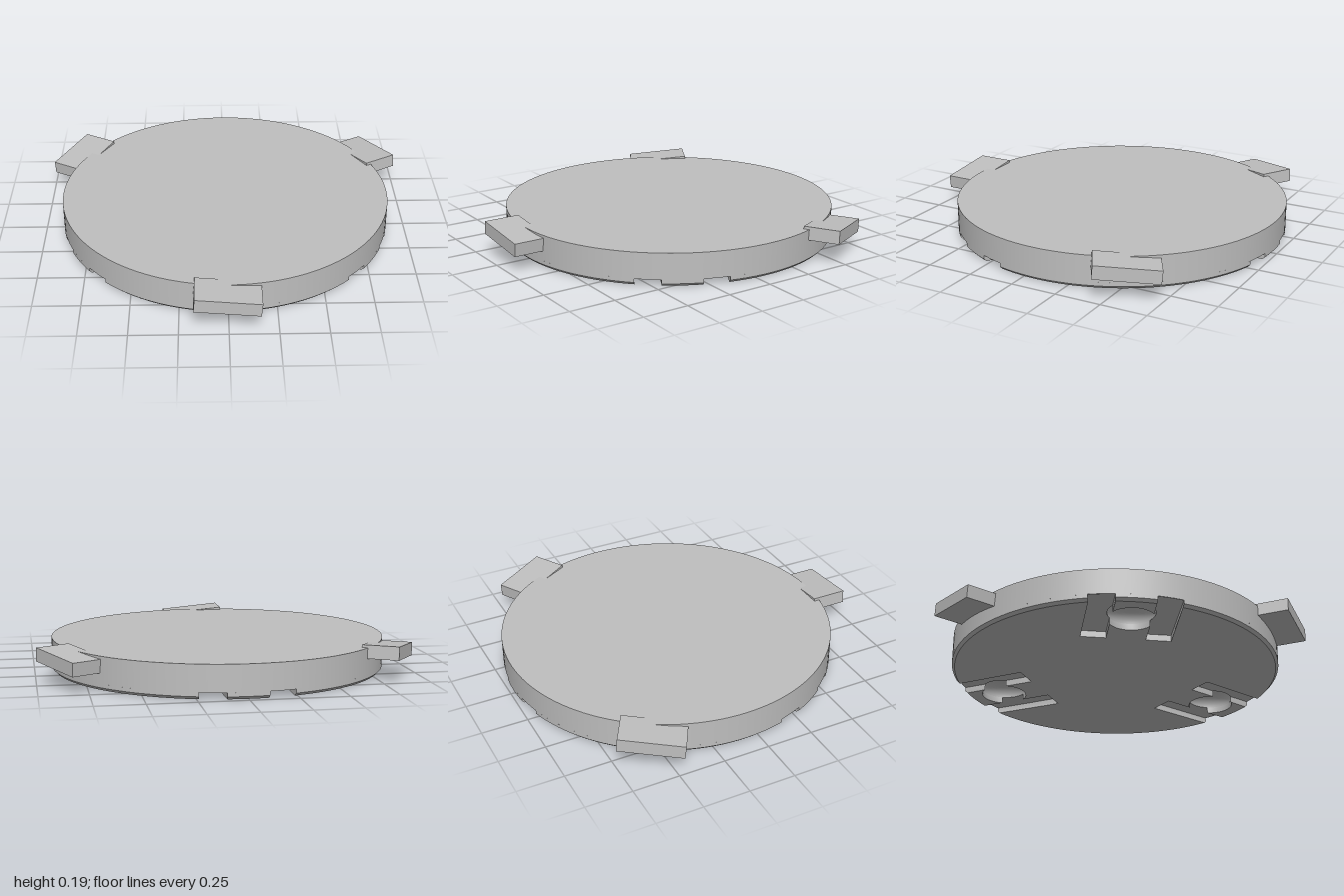
import * as THREE from 'three';
import { toCreasedNormals } from 'three/addons/utils/BufferGeometryUtils.js';

const R = 0.905;        // disc radius
const TOP = 0.175;      // disc top
const FLOOR = 0.035;    // slot depth
const CHAMFER = 0.015;  // bottom edge chamfer
const SLOT_IN = 0.47, U_IN = 0.105, U_OUT = 0.24; // slot inner end and side offsets
const BOWL_S = 0.70, BOWL_R = 0.125;              // ball socket position and radius
const PHIS = [-Math.PI / 6, Math.PI / 2, Math.PI * 7 / 6]; // socket directions

// Point at radial distance s and sideways offset u from direction phi
const polar = (phi, s, u) => new THREE.Vector2(
  s * Math.cos(phi) - u * Math.sin(phi), s * Math.sin(phi) + u * Math.cos(phi));

function rimArc(from, to, n) {
  const pts = [];
  for (let i = 0; i <= n; i++) pts.push(polar(from + (to - from) * i / n, R, 0));
  return pts;
}

function socketArc(phi, from, to) {
  const pts = [];
  for (let i = 0; i <= 12; i++) {
    const t = from + (to - from) * i / 12;
    pts.push(polar(phi, BOWL_S + BOWL_R * Math.cos(t), BOWL_R * Math.sin(t)));
  }
  return pts;
}

// Extrudes a plan outline upward and chamfers its lower rim
function baseLayer(points) {
  const g = new THREE.ExtrudeGeometry(new THREE.Shape(points),
    { depth: FLOOR, steps: 2, bevelEnabled: false });
  g.rotateX(-Math.PI / 2);
  const p = g.attributes.position;
  for (let i = 0; i < p.count; i++) {
    const y = p.getY(i);
    if (y > 0.001 && y < FLOOR - 0.001) p.setY(i, CHAMFER);
    const r = Math.hypot(p.getX(i), p.getZ(i));
    if (y < 0.001 && r > R - 0.005) {
      const k = (R - CHAMFER) / r;
      p.setX(i, p.getX(i) * k);
      p.setZ(i, p.getZ(i) * k);
    }
  }
  g.computeVertexNormals();
  return toCreasedNormals(g, 0.4);
}

export function createModel() {
  const model = new THREE.Group();
  model.name = 'twistLockCover';
  const grey = new THREE.MeshStandardMaterial({ color: 0xbfbfbf, side: THREE.DoubleSide });
  grey.name = 'plain grey';
  const body = new THREE.Group();
  body.name = 'cover';
  body.position.z = -0.077;
  model.add(body);
  const add = (name, geometry, parent = body) => {
    const m = new THREE.Mesh(geometry, grey);
    m.name = name;
    parent.add(m);
    return m;
  };

  // Disc wall and top
  add('discWall', new THREE.CylinderGeometry(R, R, TOP - FLOOR, 128, 1, true))
    .position.y = (TOP + FLOOR) / 2;
  add('discTop', new THREE.CircleGeometry(R, 128).rotateX(-Math.PI / 2)).position.y = TOP;

  // Slot floors, pierced by the sockets
  const floor = new THREE.Shape().absarc(0, 0, R - 0.001, 0, Math.PI * 2);
  for (const phi of PHIS) {
    const c = polar(phi, BOWL_S, 0);
    floor.holes.push(new THREE.Path().absarc(c.x, c.y, BOWL_R, 0, Math.PI * 2, true));
  }
  // Turned to face down while keeping the same plan
  const floorGeo = new THREE.ShapeGeometry(floor, 64).rotateX(Math.PI / 2);
  floorGeo.rotateY(Math.PI); // plan is mirror-symmetric, so this brings the sockets back in line
  add('slotFloor', floorGeo).position.y = FLOOR;

  // Slotted bottom layer
  const a = Math.asin(U_IN / BOWL_R);
  const neck = BOWL_S - BOWL_R * Math.cos(a);
  const half = Math.asin(U_OUT / R);
  const outline = [];
  PHIS.forEach((phi) => {
    outline.push(
      polar(phi, SLOT_IN, -U_OUT), polar(phi, SLOT_IN, -U_IN), polar(phi, neck - 0.001, -U_IN),
      ...socketArc(phi, Math.PI + a, Math.PI - a),
      polar(phi, neck - 0.001, U_IN), polar(phi, SLOT_IN, U_IN), polar(phi, SLOT_IN, U_OUT),
      ...rimArc(phi + half, phi + Math.PI * 2 / 3 - half, 32));
  });
  add('slottedBase', baseLayer(outline));

  const tip = Math.asin(U_IN / R);
  const bowl = [];
  for (let i = 0; i <= 16; i++) {
    const t = i / 16 * Math.PI / 2;
    bowl.push(new THREE.Vector2(BOWL_R * Math.sin(t), FLOOR + 0.095 * Math.cos(t)));
  }
  for (const phi of PHIS) {
    // Outer end of the rib between two slots
    add('ribEnd', baseLayer([...rimArc(phi - tip, phi + tip, 8), ...socketArc(phi, a, -a)]));
    // Rounded ball socket
    const c = polar(phi, BOWL_S, 0);
    add('ballSocket', new THREE.LatheGeometry(bowl, 40)).position.set(c.x, 0, -c.y);
  }

  // Three sloping locking tabs
  for (let i = 0; i < 3; i++) {
    const arm = new THREE.Group();
    arm.name = 'lockingTab';
    arm.rotation.y = i * Math.PI * 2 / 3;
    body.add(arm);
    const tab = add('tabBlock', new THREE.BoxGeometry(0.338, 0.071, 0.195), arm);
    tab.position.set(-0.005, 0.139, 0.955);
    tab.rotation.z = -0.09;
  }
  return model;
}
